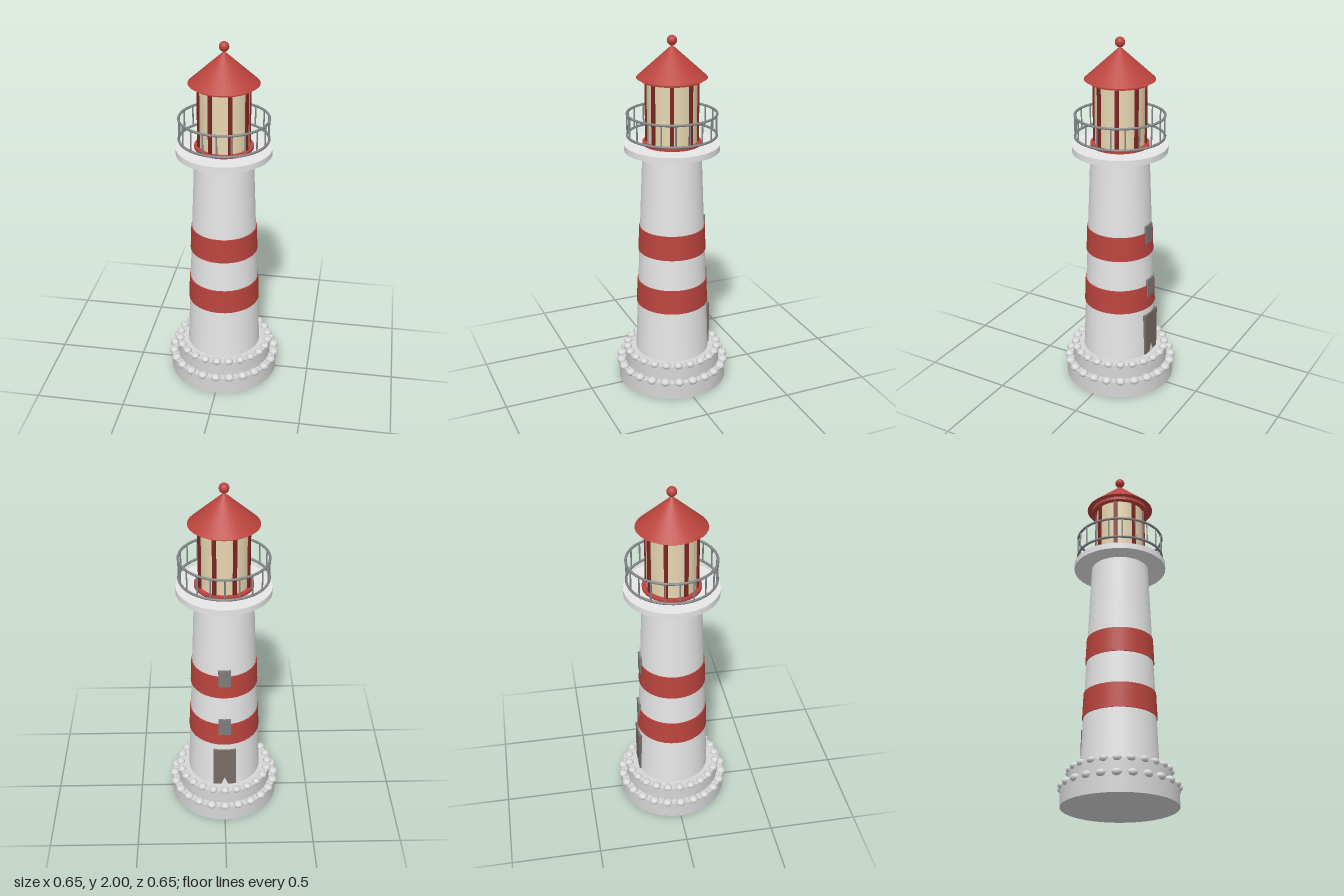
import * as THREE from 'three';

const mat = (name, color) => {
  const m = new THREE.MeshStandardMaterial({ color });
  m.name = name;
  return m;
};

export function createModel() {
  const white = mat('white paint', 0xe6e6e6);
  const stone = mat('pale stone', 0xd6d6d6);
  const red = mat('red paint', 0xbb443e);
  const darkRed = mat('dark red frame', 0x7d2622);
  const cream = mat('lamp glass', 0xe6d6b0);
  const metal = mat('rail metal', 0x85898c);
  const wood = mat('door wood', 0x786c66);
  const pane = mat('window grey', 0x7c7c7c);

  const model = new THREE.Group();
  model.name = 'lighthouse';

  const add = (name, geometry, material, x = 0, y = 0, z = 0, parent = model) => {
    const mesh = new THREE.Mesh(geometry, material);
    mesh.name = name;
    mesh.position.set(x, y, z);
    parent.add(mesh);
    return mesh;
  };
  // Upright drum between two heights
  const drum = (name, material, rBottom, rTop, y0, y1, sides = 32) =>
    add(name, new THREE.CylinderGeometry(rTop, rBottom, y1 - y0, sides), material, 0, (y0 + y1) / 2, 0);
  // Calls place(x, z, angle) at even steps around the axis
  const around = (count, radius, place, offset = 0) => {
    for (let i = 0; i < count; i++) {
      const a = offset + (i / count) * Math.PI * 2;
      place(Math.sin(a) * radius, Math.cos(a) * radius, a);
    }
  };
  const group = (name) => {
    const g = new THREE.Group();
    g.name = name;
    model.add(g);
    return g;
  };

  // Stepped base with a ring of flattened stones on each step
  drum('lowerBase', stone, 0.31, 0.31, 0, 0.1);
  drum('upperBase', stone, 0.272, 0.272, 0.1, 0.185);
  const beadRing = (name, radius, y, size) => {
    const ring = group(name);
    const bead = new THREE.SphereGeometry(size, 10, 8).scale(1, 0.75, 1);
    around(24, radius, (x, z, a) => {
      add('stone', bead, stone, x, y, z, ring).rotation.y = a;
    });
  };
  beadRing('lowerStones', 0.298, 0.102, 0.028);
  beadRing('upperStones', 0.26, 0.187, 0.025);

  // Tapered tower and its painted bands
  const towerRadius = (y) => 0.208 - ((y - 0.2) * 0.048) / 1.19;
  drum('tower', white, towerRadius(0.18), towerRadius(1.39), 0.18, 1.39);
  for (const [y0, y1] of [[0.48, 0.62], [0.8, 0.94]]) {
    drum('redBand', red, towerRadius(y0) + 0.005, towerRadius(y1) + 0.005, y0, y1);
  }

  // Door and windows at the back
  add('door', new THREE.BoxGeometry(0.13, 0.25, 0.03), wood, 0, 0.315, -0.1915);
  add('lowerWindow', new THREE.BoxGeometry(0.07, 0.105, 0.03), pane, 0, 0.602, -0.185);
  add('upperWindow', new THREE.BoxGeometry(0.07, 0.105, 0.03), pane, 0, 0.928, -0.172);

  // Gallery and railing
  drum('gallery', white, 0.26, 0.26, 1.382, 1.416, 40);
  const railing = group('railing');
  const hoop = new THREE.TorusGeometry(0.241, 0.007, 8, 48).rotateX(Math.PI / 2);
  for (const y of [1.465, 1.582]) add('rail', hoop, metal, 0, y, 0, railing);
  const baluster = new THREE.CylinderGeometry(0.0045, 0.0045, 0.117, 6);
  around(20, 0.241, (x, z) => add('baluster', baluster, metal, x, 1.5235, z, railing));

  // Lantern room
  drum('lanternSill', red, 0.16, 0.16, 1.416, 1.43);
  drum('lanternGlass', cream, 0.135, 0.135, 1.43, 1.765);
  const frame = group('lanternFrame');
  const post = new THREE.BoxGeometry(0.02, 0.335, 0.02);
  around(8, 0.135, (x, z, a) => {
    add('post', post, darkRed, x, 1.5975, z, frame).rotation.y = a;
  }, Math.PI / 8);

  // Roof and finial
  drum('roofRing', red, 0.162, 0.162, 1.76, 1.78);
  add('roof', new THREE.ConeGeometry(0.19, 0.172, 32), red, 0, 1.864, 0);
  add('finial', new THREE.SphereGeometry(0.027, 16, 12), red, 0, 1.973, 0);

  return model;
}
